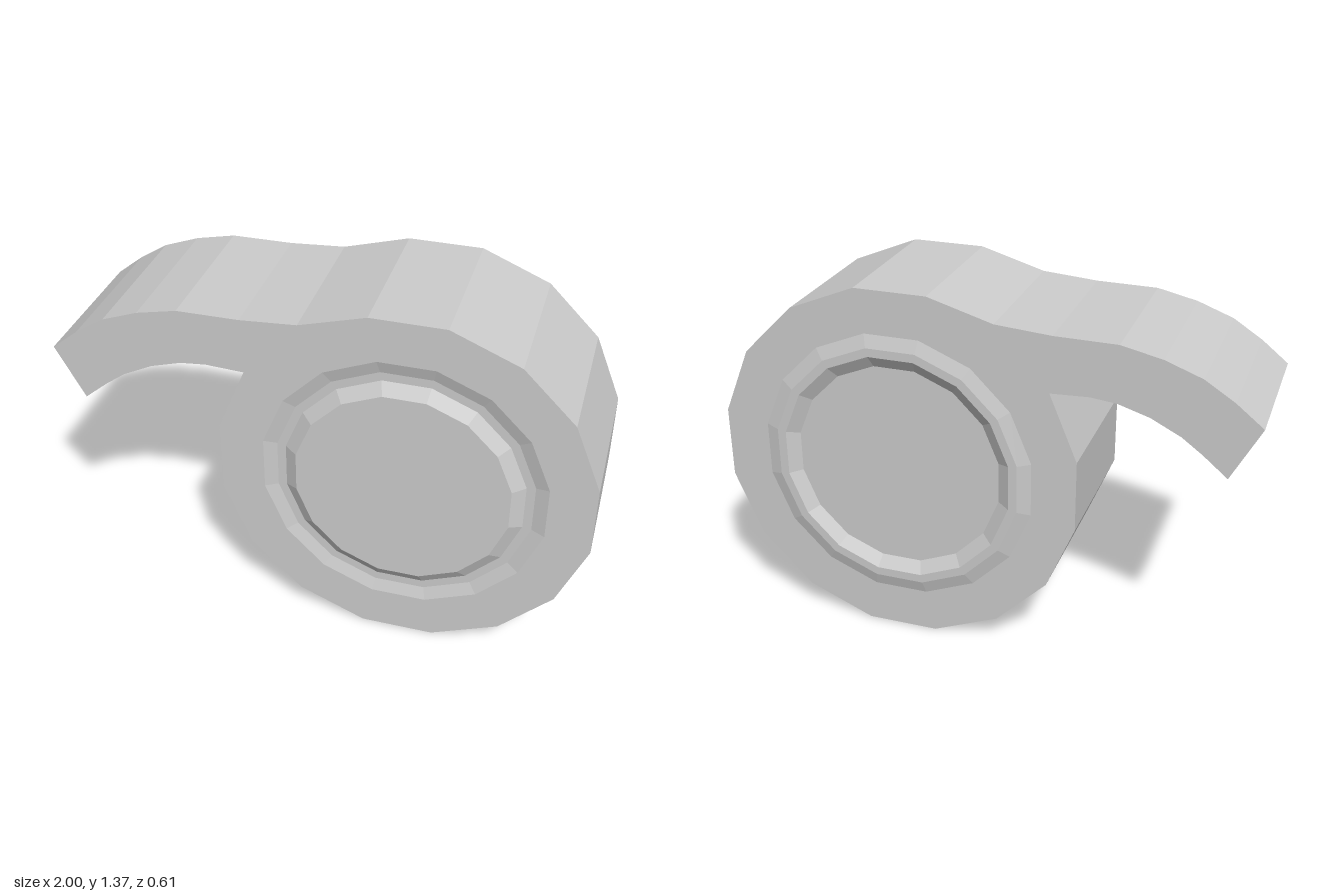
import * as THREE from 'three';

const SIDES = 16, STEP = (Math.PI * 2) / SIDES;
const CX = 0.314, CY = 0.685, HALF = 0.29;

// Corner k of a flat-topped 16-gon around the roll axis
function corner(radius, k) {
  const a = (k + 0.5) * STEP;
  return new THREE.Vector2(CX + radius * Math.cos(a), CY + radius * Math.sin(a));
}

export function createModel() {
  const model = new THREE.Group();
  const grey = new THREE.MeshStandardMaterial({ color: 0xcccccc });
  grey.name = 'light grey';
  grey.flatShading = true;

  // Roll outline, clockwise from the top right corner to the notch under the strip
  const outline = [];
  for (let k = 4; k >= -10; k--) outline.push(corner(0.699, k));

  // Loose strip: underside out to the tip, then back along the top
  const strip = [
    [-0.41, 1.08], [-0.505, 1.07], [-0.62, 1.035], [-0.73, 0.98], [-0.805, 0.925], [-0.895, 0.85],
    [-1.0, 1.05], [-0.9, 1.13], [-0.79, 1.2], [-0.655, 1.25], [-0.505, 1.283], [-0.275, 1.285], [-0.067, 1.3],
  ];
  for (const [x, y] of strip) outline.push(new THREE.Vector2(x, y));

  const shape = new THREE.Shape(outline);
  const hole = [];
  for (let k = 0; k < SIDES; k++) hole.push(corner(0.53, k));
  shape.holes.push(new THREE.Path(hole));

  const rollGeo = new THREE.ExtrudeGeometry(shape, { depth: HALF * 2, bevelEnabled: false });
  rollGeo.translate(0, 0, -HALF);
  const roll = new THREE.Mesh(rollGeo, grey);
  roll.name = 'rollWithStrip';
  model.add(roll);

  // Hub: raised rim and sunken disc behind, groove and raised disc in front
  const profile = [
    [0, -0.275], [0.4, -0.275], [0.447, -0.305], [0.48, -0.305], [0.53, -HALF],
    [0.53, HALF], [0.48, 0.275], [0.447, 0.275], [0.4, 0.305], [0, 0.305],
  ].map(([r, z]) => new THREE.Vector2(r, z));
  const hubGeo = new THREE.LatheGeometry(profile, SIDES, STEP / 2);
  hubGeo.rotateX(Math.PI / 2);
  const hub = new THREE.Mesh(hubGeo, grey);
  hub.name = 'hub';
  hub.position.set(CX, CY, 0);
  model.add(hub);

  return model;
}
